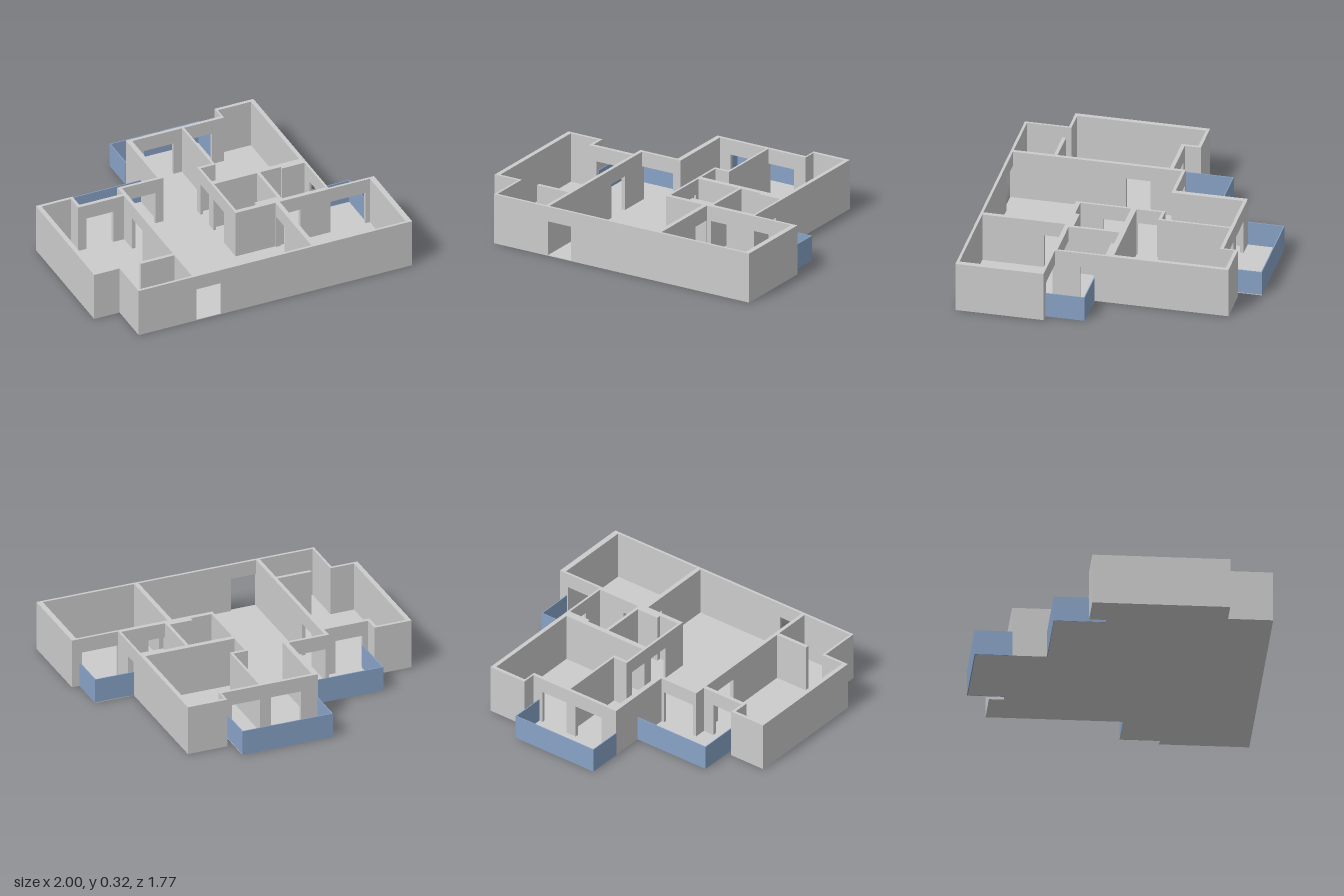
import * as THREE from 'three';

const WALL_TOP = 0.32, DOOR_TOP = 0.225, RAIL_TOP = 0.16, FLOOR = 0.005;

const grey = new THREE.MeshStandardMaterial({ color: 0xcccccc, flatShading: true });
const blue = new THREE.MeshStandardMaterial({ color: 0x88a2c6, flatShading: true });

// Box given by its limits in x, y and z
function block(parent, name, material, x0, x1, y0, y1, z0, z1) {
  const mesh = new THREE.Mesh(new THREE.BoxGeometry(x1 - x0, y1 - y0, z1 - z0), material);
  mesh.position.set((x0 + x1) / 2, (y0 + y1) / 2, (z0 + z1) / 2);
  mesh.name = name;
  parent.add(mesh);
}

// Straight wall; each door is a [start, end] span along its longer side
function wall(parent, name, x0, x1, z0, z1, doors = []) {
  const group = new THREE.Group();
  group.name = name;
  const alongX = x1 - x0 > z1 - z0;
  const span = (part, a, b, y0) => {
    if (b - a < 0.001) return;
    if (alongX) block(group, part, grey, a, b, y0, WALL_TOP, z0, z1);
    else block(group, part, grey, x0, x1, y0, WALL_TOP, a, b);
  };
  let at = alongX ? x0 : z0;
  for (const [a, b] of doors) {
    span('wallPanel', at, a, FLOOR);
    span('lintel', a, b, DOOR_TOP);
    at = b;
  }
  span('wallPanel', at, alongX ? x1 : z1, FLOOR);
  parent.add(group);
}

// Thin parapet following the open sides of a balcony
function balcony(parent, name, points) {
  const group = new THREE.Group();
  group.name = name;
  const t = 0.003;
  for (let i = 1; i < points.length; i++) {
    const [ax, az] = points[i - 1], [bx, bz] = points[i];
    block(group, 'parapet', blue, Math.min(ax, bx) - t, Math.max(ax, bx) + t, 0, RAIL_TOP,
      Math.min(az, bz) - t, Math.max(az, bz) + t);
  }
  parent.add(group);
}

export function createModel() {
  const model = new THREE.Group();
  model.name = 'apartmentPlan';

  // Floor slab, balconies included
  const outline = [
    [-1, -0.235], [-0.755, -0.235], [-0.755, -0.135], [-0.72, -0.135], [-0.72, -0.445],
    [-0.2, -0.445], [-0.2, -0.885], [0.395, -0.885], [0.395, -0.66], [0.435, -0.66],
    [0.435, -0.75], [0.695, -0.75], [0.695, 0.085], [0.95, 0.085], [0.95, 0.33],
    [1, 0.33], [1, 0.88], [-0.83, 0.88], [-0.83, 0.605], [-1, 0.605],
  ];
  const shape = new THREE.Shape(outline.map(([x, z]) => new THREE.Vector2(x, -z)));
  const slab = new THREE.ExtrudeGeometry(shape, { depth: FLOOR, bevelEnabled: false });
  slab.rotateX(-Math.PI / 2);
  const floor = new THREE.Mesh(slab, grey);
  floor.name = 'floor';
  model.add(floor);

  // Outer walls
  const outer = new THREE.Group();
  outer.name = 'outerWalls';
  model.add(outer);
  wall(outer, 'frontWall', -0.83, 1, 0.863, 0.88, [[-0.443, -0.278]]);
  wall(outer, 'rightEndWall', -1, -0.97, -0.235, 0.605);
  wall(outer, 'rightBackWall', -0.97, -0.755, -0.235, -0.215);
  wall(outer, 'rightBackReturn', -0.775, -0.755, -0.215, -0.11);
  wall(outer, 'rightBalconyWall', -0.755, -0.467, -0.135, -0.11, [[-0.72, -0.54]]);
  wall(outer, 'rightFrontStep', -0.97, -0.815, 0.587, 0.605);
  wall(outer, 'rightFrontReturn', -0.83, -0.815, 0.605, 0.863);
  wall(outer, 'livingBalconyWall', -0.443, -0.168, -0.21, -0.19, [[-0.443, -0.22]]);
  wall(outer, 'livingSideWall', -0.2, -0.168, -0.66, -0.21);
  wall(outer, 'backBalconyWall', -0.168, 0.447, -0.66, -0.638, [[-0.09, 0.11], [0.18, 0.365]]);
  wall(outer, 'backReturn', 0.435, 0.447, -0.75, -0.66);
  wall(outer, 'backWall', 0.447, 0.695, -0.75, -0.727);
  wall(outer, 'leftSideWall', 0.668, 0.695, -0.727, 0);
  wall(outer, 'leftBathWall', 0.68, 0.695, 0, 0.347, [[0.09, 0.175]]);
  wall(outer, 'leftBalconyWall', 0.695, 1, 0.33, 0.347, [[0.7, 0.935]]);
  wall(outer, 'leftEndWall', 0.965, 1, 0.347, 0.863);

  // Partitions between the rooms
  const inner = new THREE.Group();
  inner.name = 'partitions';
  model.add(inner);
  wall(inner, 'livingPartition', -0.467, -0.443, -0.21, 0.863, [[0.005, 0.157]]);
  wall(inner, 'closetPartition', -0.69, -0.467, 0.59, 0.613);
  wall(inner, 'bedroomPartition', 0.165, 0.18, -0.638, -0.21);
  wall(inner, 'bedroomStep', 0.067, 0.18, -0.21, -0.19);
  wall(inner, 'hallPartition', 0.067, 0.083, -0.19, 0.32, [[-0.16, -0.035], [0.03, 0.175]]);
  wall(inner, 'bedroomBathPartition', 0.083, 0.68, -0.032, 0.002);
  wall(inner, 'bathThickening', 0.53, 0.68, 0.002, 0.02);
  wall(inner, 'bathDivider', 0.37, 0.39, 0.002, 0.318);
  wall(inner, 'bathLedge', 0.22, 0.37, 0.29, 0.318);
  wall(inner, 'bathFrontPartition', 0.067, 0.68, 0.318, 0.347, [[0.39, 0.5]]);
  wall(inner, 'frontRoomPartition', 0.333, 0.362, 0.347, 0.863, [[0.355, 0.48]]);

  // Balcony parapets
  balcony(model, 'backBalcony', [[-0.2, -0.66], [-0.2, -0.885], [0.392, -0.885], [0.392, -0.66]]);
  balcony(model, 'rightBalcony', [[-0.72, -0.135], [-0.72, -0.445], [-0.203, -0.445]]);
  balcony(model, 'leftBalcony', [[0.698, 0.088], [0.948, 0.088], [0.948, 0.327]]);

  return model;
}
